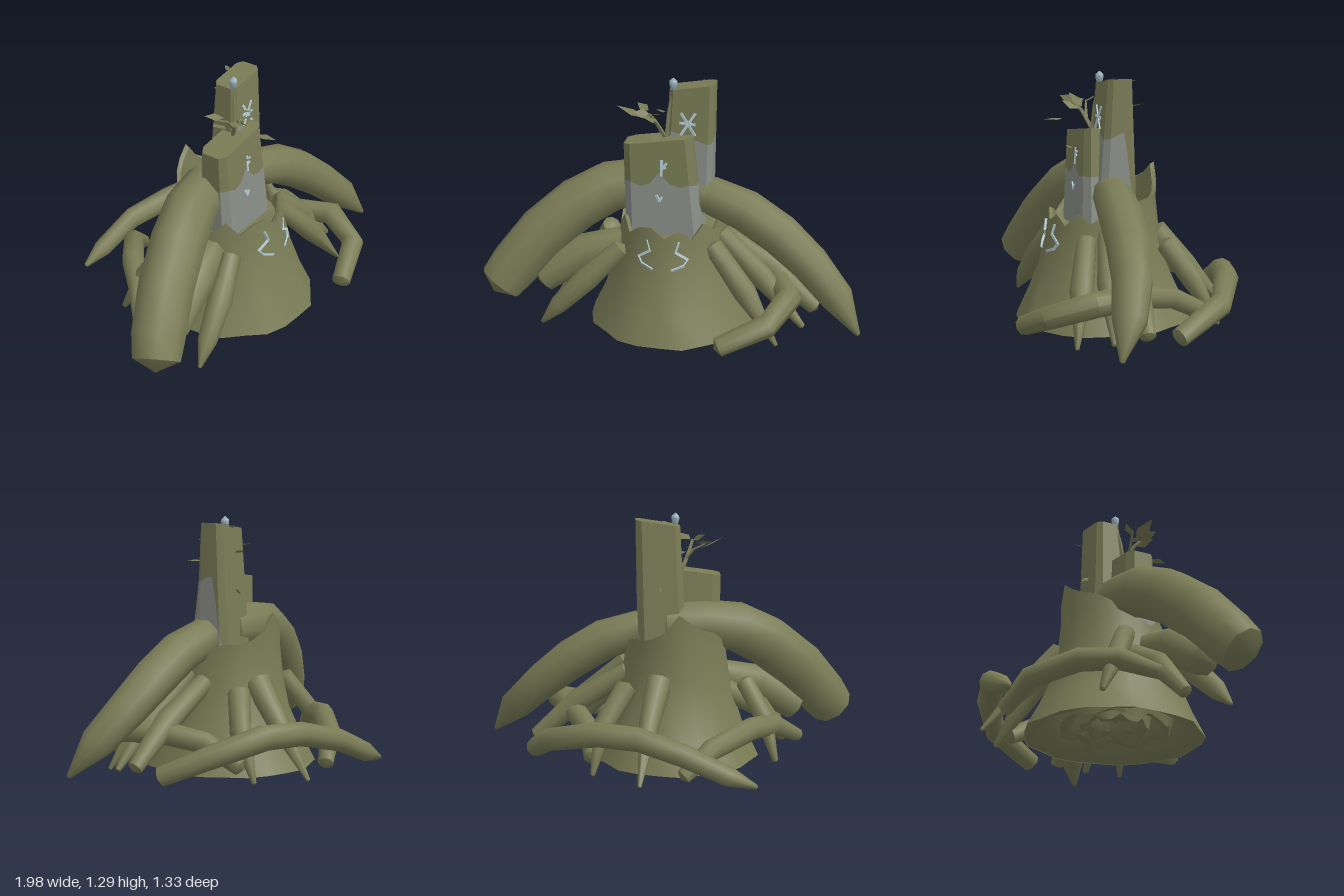
import * as THREE from 'three';
import { toCreasedNormals } from 'three/addons/utils/BufferGeometryUtils.js';

const V = (x, y, z) => new THREE.Vector3(x, y, z);
const mat = (name, color) => Object.assign(new THREE.MeshStandardMaterial({ color, side: THREE.DoubleSide }), { name });

// Skin a list of equal-length rings; optional points close the two ends.
function loft(rings, startTip, endTip, crease = 0.8) {
  const n = rings[0].length, pos = [], idx = [];
  rings.flat().forEach(p => pos.push(p.x, Math.max(0, p.y), p.z));
  for (let i = 0; i < rings.length - 1; i++)
    for (let j = 0; j < n; j++) {
      const a = i * n + j, b = i * n + (j + 1) % n;
      idx.push(a, b, a + n, b, b + n, a + n);
    }
  const cap = (tip, row, flip) => {
    if (!tip) return;
    const c = pos.length / 3;
    pos.push(tip.x, Math.max(0, tip.y), tip.z);
    for (let j = 0; j < n; j++) {
      const a = row * n + j, b = row * n + (j + 1) % n;
      flip ? idx.push(b, a, c) : idx.push(a, b, c);
    }
  };
  cap(startTip, 0, true);
  cap(endTip, rings.length - 1, false);
  const g = new THREE.BufferGeometry();
  g.setAttribute('position', new THREE.Float32BufferAttribute(pos, 3));
  g.setIndex(idx);
  return toCreasedNormals(g, crease);
}

// Tapered root with a straight run between points: pts are [x, y, z, radius].
function rootGeometry(pts, sides = 9) {
  const curve = new THREE.CatmullRomCurve3(pts.map(p => V(p[0], p[1], p[2])));
  const n = pts.length - 1, f = curve.computeFrenetFrames(n);
  const rings = pts.map(([x, y, z, r], i) => Array.from({ length: sides }, (_, j) => {
    const a = j / sides * Math.PI * 2;
    return V(x, y, z).addScaledVector(f.normals[i], Math.cos(a) * r).addScaledVector(f.binormals[i], Math.sin(a) * r);
  }));
  const tip = (i, d) => curve.getPoint(i / n).addScaledVector(f.tangents[i], d * pts[i][3] * 0.5);
  return loft(rings, tip(0, -1), tip(n, 1), 0.95);
}

// Stump radii and centre at a height: [rx, rz, cz]
const stumpRows = [[0.01, 0.44, 0.465, 0.09], [0.15, 0.37, 0.4, 0.095], [0.3, 0.32, 0.335, 0.1], [0.45, 0.285, 0.3, 0.095], [0.6, 0.265, 0.28, 0.095], [0.85, 0.26, 0.28, 0.085]];
function stumpAt(y) {
  let i = 0;
  while (i < stumpRows.length - 2 && y > stumpRows[i + 1][0]) i++;
  const a = stumpRows[i], b = stumpRows[i + 1], t = (y - a[0]) / (b[0] - a[0]);
  return [1, 2, 3].map(k => THREE.MathUtils.lerp(a[k], b[k], t));
}
const jags = [0.6, 0.64, 0.66, 0.66, 0.68, 0.72, 0.81, 0.76, 0.72, 0.7, 0.66, 0.61, 0.58, 0.54, 0.6, 0.53, 0.58, 0.59, 0.54, 0.58, 0.53, 0.6, 0.55, 0.6];
function stumpRing(heightOf, scale = 1, wobble = 0) {
  return jags.map((h, j) => {
    const a = j / jags.length * Math.PI * 2, y = heightOf(h, j), [rx, rz, cz] = stumpAt(y);
    const s = scale * (1 + wobble * Math.sin(j * 2.4));
    return V(Math.cos(a) * rx * s, y, cz - Math.sin(a) * rz * s);
  });
}

// Slanted chamfered pillar, split at a wavy line into a stone foot and a wooden head.
const corners = [[1, 0.65], [1, -0.65], [0.75, -1], [-0.75, -1], [-1, -0.65], [-1, 0.65], [-0.8, 1], [0.8, 1]];
function pillar(name, y0, foot, head, topY, bandY, wood, stone) {
  const per = [];
  corners.forEach((c, i) => {
    const d = corners[(i + 1) % 8];
    for (let k = 0; k < 6; k++) per.push([c[0] + (d[0] - c[0]) * k / 6, c[1] + (d[1] - c[1]) * k / 6]);
  });
  const at = ([u, v], y) => {
    const t = (y - y0) / (topY(u) - y0), q = foot.map((f, i) => f + (head[i] - f) * t);
    return V((q[0] + q[1]) / 2 + u * (q[1] - q[0]) / 2, y, (q[2] + q[3]) / 2 + v * (q[3] - q[2]) / 2);
  };
  const low = per.map(p => at(p, y0));
  const mid = per.map(p => at(p, Math.max(y0 + 0.005, bandY(...p))));
  const top = per.map(p => at(p, topY(p[0])));
  const g = new THREE.Group();
  g.name = name;
  const add = (n, geo, m) => { const o = new THREE.Mesh(geo, m); o.name = n; g.add(o); };
  add(name + 'Stone', loft([low, mid], null, null, 0.4), stone);
  add(name + 'Wood', loft([mid, top], null, at([0, 0], topY(0)), 0.4), wood);
  return g;
}

export function createModel() {
  const model = new THREE.Group();
  model.name = 'rootedStump';
  const wood = mat('oliveWood', 0x7a7c56), stone = mat('greyStone', 0x8a8f88), glow = mat('paleBlue', 0xb8d0da), gemMat = mat('blueGem', 0x9db2be);
  const add = (name, geo, m, parent = model) => {
    const o = new THREE.Mesh(geo, m);
    o.name = name;
    parent.add(o);
    return o;
  };

  // Flared stump with a broken rim and a sunken top
  add('stump', loft([
    stumpRing(() => 0.01, 1, 0.025), stumpRing(() => 0.15, 1, 0.015), stumpRing(() => 0.3), stumpRing(() => 0.45),
    stumpRing(h => h * 0.6 + 0.2), stumpRing(h => h), stumpRing(h => h - 0.01, 0.92), stumpRing(() => 0.5, 0.84),
  ], null, V(0, 0.5, 0.09)), wood);
  // Ridged underside: [scale, height, raggedness]
  add('underside', loft([[0.99, 0.012, 0], [0.82, 0.05, 0.02], [0.76, 0.13, 0.008], [0.64, 0.05, 0.02], [0.54, 0.07, 0.01], [0.48, 0.14, 0.01], [0.4, 0.06, 0.02], [0.3, 0.08, 0.01], [0.25, 0.13, 0.01]]
    .map(([s, y, r]) => stumpRing((h, j) => y + r * Math.sin(j * 2.1 + s * 9), s, 0.025)).reverse(), V(0, 0.1, 0.09)), wood);

  // Two standing pillars: foot and head boxes are [x0, x1, z0, z1]
  model.add(pillar('frontPillar', 0.5, [-0.23, 0.17, 0.05, 0.25], [-0.24, 0.11, 0.07, 0.22],
    u => 0.995 + 0.025 * u, (u, v) => (v < -0.6 ? 0.5 : 0.785 + 0.03 * Math.sin(u * 5 + 1.5) + 0.02 * Math.cos(u * 9)), wood, stone));
  model.add(pillar('tallPillar', 0.6, [-0.05, 0.2, -0.03, 0.175], [-0.02, 0.21, 0, 0.13],
    u => 1.255 + 0.018 * u, (u, v) => (v < -0.9 || u < -0.95 ? 0.6 : 0.62 + 0.38 * THREE.MathUtils.smoothstep(v, -0.85, -0.2) - 0.04 * Math.max(0, v) * u), wood, stone));

  // Roots
  const roots = {
    rightGreatRoot: [[0.05, 0.72, 0.07, 0.11], [-0.15, 0.72, 0.06, 0.125], [-0.33, 0.69, 0.09, 0.135], [-0.5, 0.6, 0.14, 0.14], [-0.68, 0.45, 0.2, 0.14], [-0.82, 0.28, 0.26, 0.135], [-0.89, 0.19, 0.3, 0.12]],
    leftGreatRoot: [[0, 0.69, 0.08, 0.09], [0.2, 0.68, 0.11, 0.1], [0.38, 0.62, 0.135, 0.11], [0.56, 0.51, 0.16, 0.11], [0.72, 0.38, 0.2, 0.1], [0.87, 0.23, 0.27, 0.085], [0.985, 0.075, 0.35, 0.012]],
    backArcRoot: [[0.75, 0.08, -0.03, 0.05], [0.66, 0.2, -0.29, 0.06], [0.43, 0.26, -0.42, 0.065], [0.22, 0.25, -0.49, 0.062], [0, 0.19, -0.585, 0.058], [-0.22, 0.09, -0.622, 0.05], [-0.35, 0.04, -0.635, 0.012]],
    leftArcRoot: [[0.31, 0.085, 0.615, 0.05], [0.54, 0.185, 0.545, 0.06], [0.63, 0.25, 0.35, 0.065], [0.54, 0.24, 0.09, 0.06], [0.47, 0.2, -0.1, 0.055], [0.45, 0.1, -0.29, 0.045]],
    backLowRoot: [[0.0, 0.06, -0.51, 0.04], [-0.15, 0.18, -0.45, 0.055], [-0.36, 0.23, -0.28, 0.06], [-0.5, 0.21, -0.13, 0.055], [-0.65, 0.11, 0.0, 0.035]],
    backSteepRoot: [[-0.36, 0.42, -0.03, 0.05], [-0.45, 0.25, -0.13, 0.05], [-0.5, 0.04, -0.23, 0.015]],
    backTipRoot: [[0.1, 0.46, -0.16, 0.07], [0.16, 0.28, -0.32, 0.055], [0.22, 0.02, -0.54, 0.01]],
    backLeftRoot: [[0.27, 0.43, -0.16, 0.058], [0.39, 0.26, -0.25, 0.055], [0.45, 0.03, -0.37, 0.012]],
    rightUpperRoot: [[-0.24, 0.42, 0.16, 0.08], [-0.45, 0.36, 0.2, 0.1], [-0.67, 0.21, 0.23, 0.08]],
    rightMiddleRoot: [[-0.24, 0.43, 0.28, 0.05], [-0.41, 0.27, 0.33, 0.065], [-0.56, 0.12, 0.36, 0.05], [-0.65, 0.02, 0.38, 0.01]],
    rightLowRoot: [[-0.26, 0.36, 0.05, 0.06], [-0.45, 0.25, 0.1, 0.06], [-0.6, 0.06, 0.16, 0.035]],
    leftFrontRoot: [[0.23, 0.47, 0.26, 0.05], [0.41, 0.26, 0.35, 0.06], [0.58, 0.02, 0.43, 0.01]],
    leftMiddleRoot: [[0.26, 0.5, 0.16, 0.05], [0.48, 0.3, 0.23, 0.06], [0.7, 0.06, 0.28, 0.015]],
    leftRearRoot: [[0.26, 0.46, 0.06, 0.05], [0.52, 0.3, 0.1, 0.065], [0.75, 0.1, 0.13, 0.04]],
  };
  for (const [name, pts] of Object.entries(roots)) add(name, rootGeometry(pts), wood);

  // Thin carved marks: polylines of slim plates
  const marks = new THREE.Group();
  marks.name = 'carvedMarks';
  model.add(marks);
  const stroke = (pts, zAt, w = 0.013) => {
    for (let i = 0; i < pts.length - 1; i++) {
      const [a, b] = [pts[i], pts[i + 1]].map(([x, y]) => V(x, y, zAt(x, y)));
      const m = add('mark', new THREE.BoxGeometry(w, a.distanceTo(b) + w * 0.5, 0.006), glow, marks);
      m.position.copy(a).add(b).multiplyScalar(0.5);
      m.quaternion.setFromUnitVectors(V(0, 1, 0), b.sub(a).normalize());
    }
  };
  const onStump = (x, y) => { const [rx, rz, cz] = stumpAt(y); return cz + rz * Math.sqrt(1 - (x / rx) ** 2) + 0.007; };
  const onFront = (x, y) => 0.252 - (y - 0.5) * 0.06;
  const onTall = (x, y) => 0.177 - (y - 0.6) * 0.069;
  [-1, 1].forEach(s => stroke([[0.075, 0.525], [0.06, 0.475], [0.12, 0.435], [0.1, 0.405], [0.045, 0.385]].map(([x, y]) => [s * x - (s < 0 ? 0.012 : 0), y]), onStump));
  stroke([[-0.04, 0.9], [-0.04, 0.82]], onFront);
  stroke([[-0.015, 0.885], [-0.04, 0.855], [-0.02, 0.865]], onFront);
  stroke([[-0.065, 0.715], [-0.05, 0.685], [-0.038, 0.705]], onFront);
  [[0.045, 1.125, 0.115, 1.015], [0.115, 1.125, 0.045, 1.015], [0.04, 1.075, 0.115, 1.07]]
    .forEach(([x, y, x2, y2]) => stroke([[x, y], [x2, y2]], onTall));

  // Sprout twigs
  [[[-0.04, 1.0, 0.14, 0.012], [-0.08, 1.09, 0.18, 0.01], [-0.1, 1.14, 0.23, 0.007]],
    [[-0.03, 1.0, 0.14, 0.011], [-0.02, 1.12, 0.13, 0.01], [0, 1.24, 0.11, 0.008]],
    [[-0.06, 1.05, 0.16, 0.009], [-0.1, 1.1, 0.15, 0.007], [-0.16, 1.13, 0.13, 0.005]],
  ].forEach((p, i) => add('twig' + i, rootGeometry(p, 5), wood));

  // Gem bud on the tallest twig
  const gem = add('gemBud', new THREE.LatheGeometry([[0, -0.04], [0.014, -0.03], [0.022, 0], [0.02, 0.015], [0, 0.032]].map(p => new THREE.Vector2(...p)), 7), gemMat);
  gem.position.set(0, 1.268, 0.11);

  // Diamond leaves: [x, y, z, rotX, rotY, rotZ, length]
  const diamond = new THREE.Shape([[0, 0], [0.45, 0.25], [1, 0], [0.4, -0.25]].map(p => new THREE.Vector2(...p)));
  const leafGeo = new THREE.ShapeGeometry(diamond);
  [[-0.14, 1.1, 0.16, 1.4, 0.2, 2.7, 0.15], [-0.1, 1.14, 0.22, 0.5, 0.6, 2.9, 0.09], [-0.09, 1.14, 0.23, 1.3, -0.9, 0.3, 0.1],
    [-0.02, 1.18, 0.13, 1.1, 0.4, 0.5, 0.09], [0.02, 1.24, 0.1, 1.2, 0.7, 0.3, 0.08], [-0.05, 1.055, 0.29, 1.5, -1.5, 0, 0.11],
    [-0.1, 0.9, 0.235, 1.2, -0.5, 0.1, 0.09], [0.1, 1.12, -0.02, 1.2, 1.4, 0.2, 0.07], [0.08, 0.93, -0.01, 0.4, 1.3, -0.5, 0.05],
    [-0.12, 1.13, 0.14, 1.2, 2.4, 0.2, 0.1], [-0.07, 1.1, 0.2, 0.9, -2.2, 0.4, 0.1], [0.12, 1.25, 0, 1.1, 1.1, 0.2, 0.05],
    [-0.06, 1.15, 0.17, 1.3, -1.2, 0.15, 0.1], [-0.1, 1.12, 0.2, 1.3, -2.6, 0.2, 0.1],
  ].forEach(([x, y, z, rx, ry, rz, s], i) => {
    const m = add('leaf' + i, leafGeo, wood);
    m.position.set(x, y, z);
    m.rotation.set(rx, ry, rz, 'YZX');
    m.scale.setScalar(s);
  });
  return model;
}
